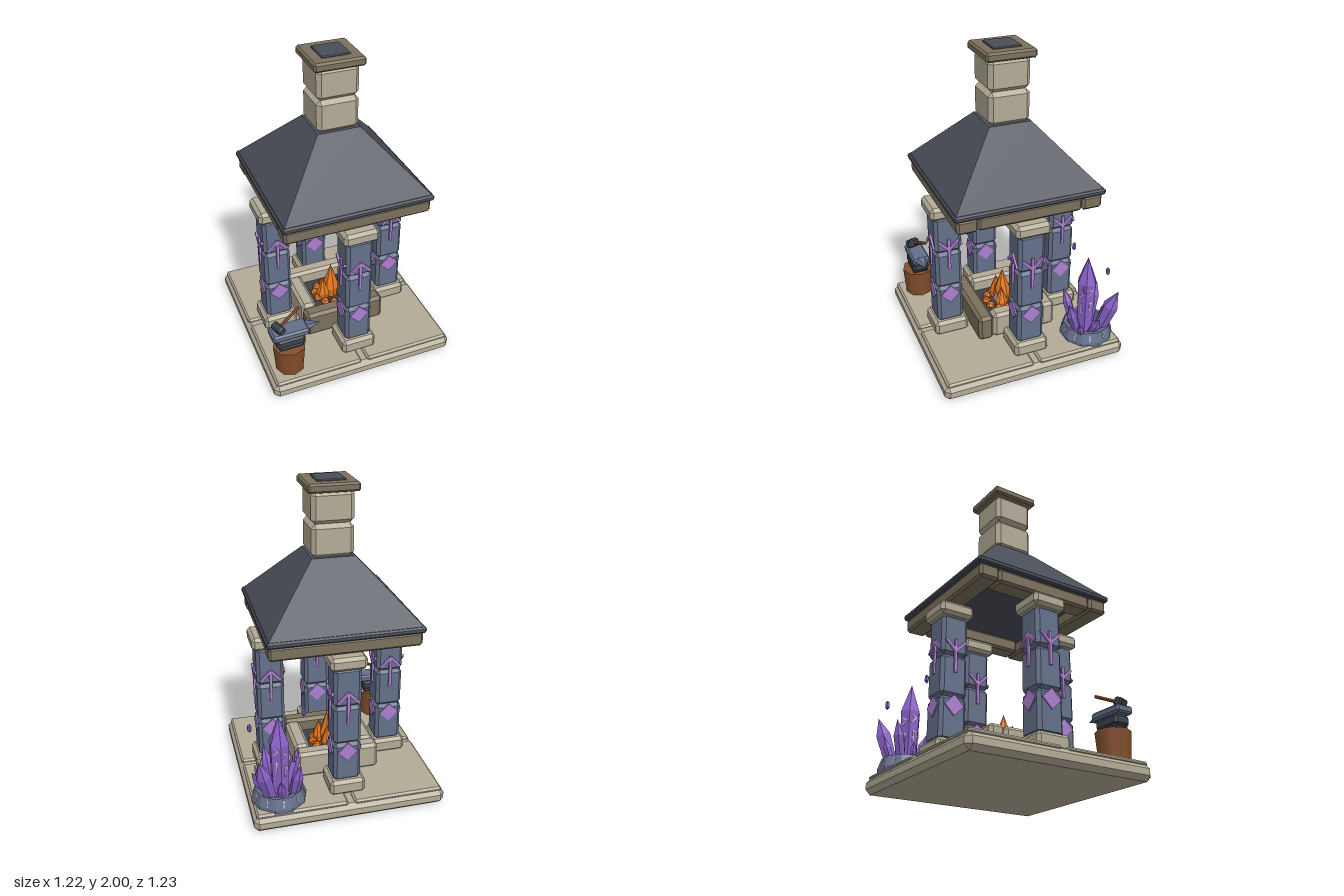
import * as THREE from 'three';
import { ConvexGeometry } from 'three/addons/geometries/ConvexGeometry.js';

const mat = (name, color) => Object.assign(new THREE.MeshStandardMaterial({ color }), { name });
const M = {
  stone: mat('light stone', 0xb3ab97), taupe: mat('taupe stone', 0x7b705c),
  slate: mat('roof slate', 0x4a4e58), blue: mat('blue stone', 0x64708a),
  iron: mat('dark iron', 0x3c424e), rune: mat('rune violet', 0xac7ed0),
  crystal: mat('crystal violet', 0x8a62c8), pale: mat('pale glow', 0xdcc0d8),
  fire: mat('fire orange', 0xe2761c), wood: mat('wood brown', 0x85502c),
};

function add(parent, name, geo, material, x = 0, y = 0, z = 0) {
  const m = new THREE.Mesh(geo, material);
  m.name = name;
  m.position.set(x, y, z);
  parent.add(m);
  return m;
}

function group(parent, name, x = 0, y = 0, z = 0) {
  const g = new THREE.Group();
  g.name = name;
  g.position.set(x, y, z);
  parent.add(g);
  return g;
}

// faceted copy of a geometry
function flat(geo) {
  const g = geo.index ? geo.toNonIndexed() : geo;
  g.computeVertexNormals();
  return g;
}

// box with every edge cut at 45 degrees
function chamferBox(w, h, d, c) {
  const pts = [], X = w / 2, Y = h / 2, Z = d / 2;
  for (const i of [-1, 1]) for (const j of [-1, 1]) for (const k of [-1, 1]) {
    pts.push(new THREE.Vector3(i * X, j * (Y - c), k * (Z - c)),
      new THREE.Vector3(i * (X - c), j * Y, k * (Z - c)),
      new THREE.Vector3(i * (X - c), j * (Y - c), k * Z));
  }
  return new ConvexGeometry(pts);
}

// chamfered block given by its lower and upper heights
const block = (p, name, m, x, z, w, d, y0, y1, c = 0.015) =>
  add(p, name, chamferBox(w, y1 - y0, d, c), m, x, (y0 + y1) / 2, z);

const lathe = (pts, sides) =>
  flat(new THREE.LatheGeometry(pts.map(p => new THREE.Vector2(p[0], p[1])), sides));

// straight stroke in a vertical plane
function stroke(p, m, [x0, y0], [x1, y1], z, w, t) {
  const s = add(p, 'runeStroke', new THREE.BoxGeometry(Math.hypot(x1 - x0, y1 - y0), w, t), m,
    (x0 + x1) / 2, (y0 + y1) / 2, z);
  s.rotation.z = Math.atan2(y1 - y0, x1 - x0);
}

function column(root, x, z) {
  const g = group(root, 'column', x, 0, z);
  block(g, 'columnFoot', M.stone, 0, 0, 0.225, 0.225, 0.11, 0.21, 0.02);
  [[0.2, 0.465], [0.465, 0.72], [0.72, 0.975]].forEach(([a, b]) =>
    block(g, 'columnDrum', M.blue, 0, 0, 0.172, 0.172, a, b, 0.02));
  block(g, 'columnCap', M.stone, 0, 0, 0.225, 0.225, 0.97, 1.055, 0.02);
  for (let i = 0; i < 4; i++) {
    const face = group(g, 'columnRunes');
    face.rotation.y = i * Math.PI / 2;
    stroke(face, M.rune, [0, 0.61], [0, 0.82], 0.09, 0.018, 0.016);
    for (const s of [-1, 1]) {
      // arrow on front and back, branching rune on the sides
      if (i % 2 === 0) stroke(face, M.rune, [0, 0.82], [s * 0.065, 0.75], 0.09, 0.018, 0.016);
      else stroke(face, M.rune, [0, 0.745], [s * 0.065, 0.81], 0.09, 0.018, 0.016);
    }
    const d = add(face, 'diamondRune', new THREE.BoxGeometry(0.09, 0.09, 0.009), M.rune, 0, 0.41, 0.0895);
    d.rotation.z = Math.PI / 4;
  }
}

// six-sided crystal from base point to tip
function crystal(p, base, tip, r) {
  const a = new THREE.Vector3(...base), dir = new THREE.Vector3(...tip).sub(a), h = dir.length();
  const g = group(p, 'crystal', ...base);
  g.quaternion.setFromUnitVectors(new THREE.Vector3(0, 1, 0), dir.normalize());
  add(g, 'crystalBody', lathe([[0, 0], [r * 0.8, 0], [r, h * 0.68], [0, h]], 6), M.crystal);
  return g;
}

export function createModel() {
  const root = new THREE.Group();
  root.name = 'runeForgeShrine';

  // floor slab and four paving tiles
  block(root, 'baseSlab', M.stone, 0, 0, 1.22, 1.22, 0, 0.1, 0.03);
  for (const x of [-1, 1]) for (const z of [-1, 1])
    block(root, 'pavingTile', M.stone, x * 0.306, z * 0.306, 0.572, 0.572, 0.085, 0.117, 0.012);

  for (const [x, z] of [[0, 1], [0, -1], [1, 0], [-1, 0]]) column(root, x * 0.395, z * 0.395);

  // ring beams
  for (const s of [-1, 1]) {
    block(root, 'crossBeam', M.taupe, 0, s * 0.395, 0.93, 0.13, 1.06, 1.15, 0.015);
    block(root, 'sideBeam', M.taupe, s * 0.395, 0, 0.13, 0.66, 1.06, 1.15, 0.015);
  }

  // roof
  block(root, 'roofEave', M.slate, 0, 0, 0.955, 0.955, 1.148, 1.186, 0.01);
  const roof = flat(new THREE.CylinderGeometry(0.135 * Math.SQRT2, 0.468 * Math.SQRT2, 0.365, 4));
  add(root, 'roof', roof, M.slate, 0, 1.3625, 0).rotation.y = Math.PI / 4;

  // chimney
  block(root, 'chimneyBlock', M.stone, 0, 0, 0.262, 0.262, 1.54, 1.745, 0.025);
  block(root, 'chimneyBlock', M.stone, 0, 0, 0.262, 0.262, 1.745, 1.94, 0.025);
  block(root, 'chimneyCap', M.taupe, 0, 0, 0.315, 0.315, 1.935, 1.99, 0.012);
  block(root, 'chimneyOpening', M.slate, 0, 0, 0.178, 0.178, 1.98, 2.0, 0.005);

  // hearth
  block(root, 'hearthFront', M.taupe, 0, 0.215, 0.54, 0.1, 0.112, 0.288, 0.02);
  block(root, 'hearthBack', M.stone, 0, -0.215, 0.54, 0.1, 0.112, 0.288, 0.02);
  for (const s of [-1, 1])
    block(root, 'hearthSide', M.stone, s * 0.215, 0, 0.1, 0.325, 0.112, 0.288, 0.02);
  add(root, 'hearthFloor', new THREE.BoxGeometry(0.34, 0.09, 0.34), M.iron, 0, 0.155, 0);
  const fire = group(root, 'fire', 0, 0.2, 0);
  for (let i = 0; i < 11; i++) {
    const a = i / 11 * Math.PI * 2;
    const e = add(fire, 'ember', new THREE.IcosahedronGeometry(0.032, 0), M.fire,
      Math.cos(a) * 0.11, 0.012, Math.sin(a) * 0.11);
    e.scale.y = 0.7;
    e.rotation.y = i;
  }
  const flames = [[0, 0, 0.062, 0.25], [-0.065, 0.02, 0.045, 0.17], [0.06, 0.03, 0.042, 0.15],
    [0.02, -0.065, 0.045, 0.16]];
  for (const [x, z, r, h] of flames)
    add(fire, 'flame', lathe([[0, 0], [r * 0.8, 0], [r, h * 0.28], [r * 0.55, h * 0.62], [0, h]], 7),
      M.fire, x, 0, z);
  add(fire, 'flameCore', lathe([[0, 0], [0.014, 0.03], [0, 0.12]], 5), M.pale, 0.04, 0.02, 0.062);

  // stump, anvil and hammer
  const smithy = group(root, 'anvilStand', -0.46, 0, 0.458);
  add(smithy, 'stump', new THREE.CylinderGeometry(0.107, 0.092, 0.185, 8), M.wood, 0, 0.208, 0);
  block(smithy, 'anvilFoot', M.iron, 0, 0, 0.19, 0.13, 0.3, 0.325, 0.008).scale.set(0.8, 1, 0.8);
  block(smithy, 'anvilWaist', M.iron, 0, 0, 0.185, 0.11, 0.318, 0.385, 0.015);
  block(smithy, 'anvilTop', M.blue, 0, 0, 0.24, 0.12, 0.385, 0.435, 0.012);
  const horn = add(smithy, 'anvilHorn', flat(new THREE.ConeGeometry(0.035, 0.1, 6)), M.blue, 0.157, 0.413, 0);
  horn.rotation.z = -Math.PI / 2;
  horn.scale.z = 1.3;
  const hammer = group(smithy, 'hammer', -0.07, 0.462, 0.01);
  hammer.rotation.set(0, 0.35, 0.42, 'YXZ');
  add(hammer, 'hammerHead', chamferBox(0.05, 0.055, 0.085, 0.01), M.iron);
  const handle = add(hammer, 'hammerHandle', flat(new THREE.CylinderGeometry(0.011, 0.011, 0.19, 6)), M.wood, 0.085, 0, 0);
  handle.rotation.z = Math.PI / 2;

  // crystal planter
  const bed = group(root, 'crystalBed', 0.425, 0, -0.425);
  const ring = add(bed, 'planterRing', lathe([[0.172, 0.11], [0.172, 0.135], [0.15, 0.2], [0.125, 0.2],
    [0.125, 0.11]], 10), M.blue);
  ring.rotation.y = Math.PI / 10;
  for (let i = 0; i < 10; i++) {
    const side = group(bed, 'planterRune');
    side.rotation.y = i / 10 * Math.PI * 2;
    const plate = group(side, 'planterMark', 0, 0.165, 0.154);
    plate.rotation.x = -0.32;
    stroke(plate, M.pale, [0, -0.022], [0, 0.022], 0, 0.006, 0.008);
    stroke(plate, M.pale, [0, i % 2 ? 0.022 : 0.005], [0.014, 0.008], 0, 0.006, 0.008);
  }

  // crystal cluster
  const main = crystal(bed, [-0.01, 0.115, 0.005], [-0.01, 0.685, 0.005], 0.065);
  for (let i = 0; i < 6; i++) {
    const side = group(main, 'crystalRune');
    side.rotation.y = (i + 0.5) * Math.PI / 3;
    const y = 0.17 + (i % 3) * 0.02, z = 0.0525;
    stroke(side, M.pale, [0, y], [0, y + 0.07], z, 0.007, 0.006);
    stroke(side, M.pale, [0, y + 0.07], [0.018, y + 0.05], z, 0.007, 0.006);
    stroke(side, M.pale, [-0.018, y + 0.12], [0.016, y + 0.15], z + 0.002, 0.007, 0.006);
    stroke(side, M.pale, [0.016, y + 0.15], [-0.014, y + 0.17], z + 0.002, 0.007, 0.006);
  }
  const cluster = [
    [0.05, -0.05, 0.14, 0.48, -0.14, 0.05], [-0.07, -0.06, -0.115, 0.41, -0.13, 0.035],
    [0.06, 0.01, 0.165, 0.32, 0, 0.03], [0.03, 0.07, 0.06, 0.41, 0.165, 0.035],
    [-0.06, 0.05, -0.15, 0.39, 0.1, 0.032], [0.0, -0.08, 0.01, 0.33, -0.15, 0.026],
    [0.07, 0.06, 0.13, 0.29, 0.12, 0.022], [-0.08, 0, -0.13, 0.29, -0.02, 0.022],
  ];
  for (const [x, z, tx, ty, tz, r] of cluster) crystal(bed, [x, 0.115, z], [tx, ty, tz], r);

  // floating shards
  for (const [x, y, z] of [[0.255, 0.68, -0.4], [0.575, 0.565, -0.315], [0.36, 0.5, -0.603]])
    add(root, 'floatingShard', lathe([[0, -0.03], [0.014, -0.014], [0.014, 0.014], [0, 0.03]], 6),
      M.crystal, x, y, z);

  return root;
}
